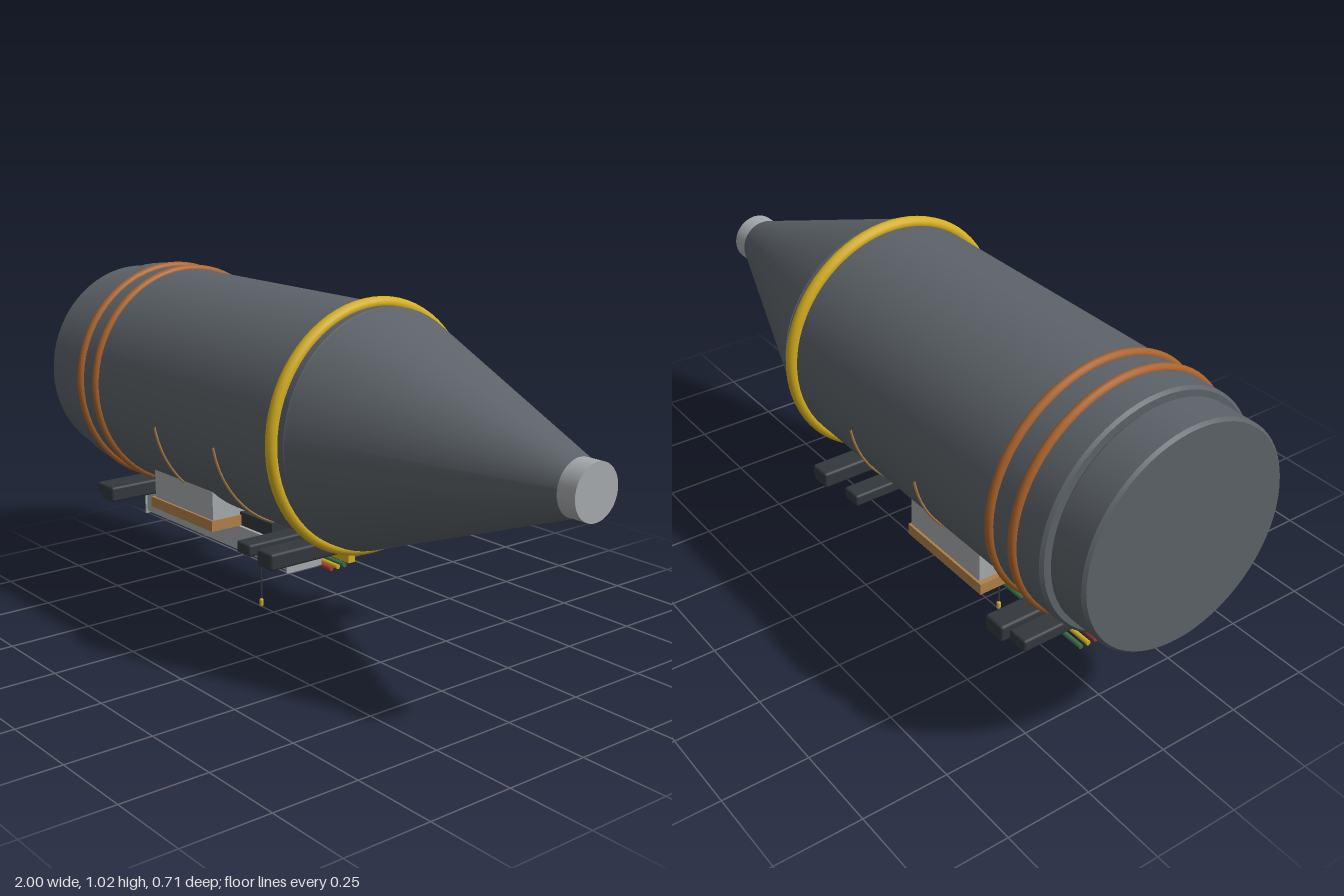
import * as THREE from 'three';
import { RoundedBoxGeometry } from 'three/addons/geometries/RoundedBoxGeometry.js';
import { toCreasedNormals } from 'three/addons/utils/BufferGeometryUtils.js';

const material = (name, color) => {
  const m = new THREE.MeshStandardMaterial({ color });
  m.name = name;
  return m;
};

export function createModel() {
  const group = new THREE.Group();
  const steel = material('vessel steel', 0x5c6268);
  const lightGray = material('light gray', 0xa6aaac);
  const dark = material('dark metal', 0x33383d);
  const yellow = material('yellow', 0xd4ae1e);
  const copper = material('copper', 0xa9622a);
  const wood = material('tan', 0xb08048);
  const red = material('red', 0xb03a34);
  const green = material('green', 0x3a7048);
  const AXIS = 0.667, R = 0.333;

  const add = (name, geo, mat, x = 0, y = 0, z = 0) => {
    const mesh = new THREE.Mesh(geo, mat);
    mesh.name = name;
    mesh.position.set(x, y, z);
    group.add(mesh);
    return mesh;
  };
  // Box given by its extents
  const box = (name, mat, x0, x1, y0, y1, z0, z1, round = 0) => {
    const s = [x1 - x0, y1 - y0, z1 - z0];
    const geo = round ? new RoundedBoxGeometry(...s, 2, round) : new THREE.BoxGeometry(...s);
    return add(name, geo, mat, (x0 + x1) / 2, (y0 + y1) / 2, (z0 + z1) / 2);
  };
  // Turned part along x; points are [radius, x]
  const turned = (name, mat, points) => {
    const geo = new THREE.LatheGeometry(points.map(p => new THREE.Vector2(...p)), 64);
    geo.rotateZ(-Math.PI / 2);
    add(name, toCreasedNormals(geo, 0.3), mat, 0, AXIS, 0);
  };
  const rod = (name, mat, r, x0, x1, y, z) => {
    const geo = new THREE.CylinderGeometry(r, r, x1 - x0, 12).rotateZ(Math.PI / 2);
    add(name, geo, mat, (x0 + x1) / 2, y, z);
  };
  const hoop = (name, mat, x, radius, tube) =>
    add(name, new THREE.TorusGeometry(radius, tube, 12, 72).rotateY(Math.PI / 2), mat, x, AXIS, 0);

  // Vessel
  turned('rearCap', steel, [[0, -1], [0.303, -1], [0.311, -0.992], [0.311, -0.886], [0.303, -0.878], [0, -0.878]]);
  turned('body', steel, [[0, -0.878], [0.325, -0.878], [R, -0.87], [R, 0.245], [0.328, 0.252], [0, 0.252]]);
  turned('noseCone', steel, [[0, 0.25], [R, 0.25], [0.075, 0.945], [0, 0.945]]);
  turned('noseTip', lightGray, [[0, 0.94], [0.074, 0.94], [0.074, 1], [0, 1]]);

  // Hoops
  hoop('frontHoop', yellow, 0.205, 0.338, 0.018);
  for (const x of [-0.775, -0.687]) hoop('rearHoop', copper, x, 0.333, 0.013);

  // Cross beams and the plate between them
  for (const x of [-0.685, 0.131]) box('crossBeam', dark, x - 0.034, x + 0.034, 0.312, 0.36, -0.313, 0.313, 0.008);
  for (const x of [-0.75, 0.002]) box('innerBeam', dark, x - 0.031, x + 0.031, 0.312, 0.347, -0.29, 0.29, 0.007);
  box('underPlate', dark, -0.66, -0.065, 0.314, 0.355, -0.14, 0.14);

  // Side cabinets on wooden bases and hoses running up the vessel
  for (const side of [-1, 1]) {
    const zs = (a, b) => (side > 0 ? [a, b] : [-b, -a]);
    box('cabinet', lightGray, -0.525, -0.22, 0.345, 0.437, ...zs(0.105, 0.236));
    box('cabinetBase', wood, -0.54, -0.215, 0.314, 0.346, ...zs(0.098, 0.243));
    for (const [x, end] of [[-0.37, 47], [-0.075, 68]]) {
      const points = [];
      for (let i = 0; i <= 10; i++) {
        const a = THREE.MathUtils.degToRad(10 + (end - 10) * i / 10);
        points.push(new THREE.Vector3(x, AXIS - 0.335 * Math.sin(a), side * 0.335 * Math.cos(a)));
      }
      add('hose', new THREE.TubeGeometry(new THREE.CatmullRomCurve3(points), 24, 0.004, 8), wood);
    }
  }

  // Runway beam, duct with end flanges
  box('runwayBeam', yellow, -0.875, 0.122, 0.26, 0.311, -0.012, 0.012);
  box('duct', lightGray, -0.748, -0.002, 0.23, 0.304, 0.018, 0.132);
  for (const x of [-0.75, -0.006]) box('ductFlange', lightGray, x, x + 0.006, 0.223, 0.31, 0.013, 0.137);

  // Pipes and cable tray
  [red, yellow, green].forEach((mat, i) => rod('pipe', mat, 0.007, -0.75, 0, 0.203, -0.025 - i * 0.025));
  box('cableTray', lightGray, -0.75, 0, 0.277, 0.281, -0.1, -0.025);
  for (let i = 0; i < 5; i++) rod('cable', i % 2 ? copper : red, 0.004, -0.75, 0, 0.285, -0.048 - i * 0.009);

  // Hoist with rope and pendant
  box('hoist', dark, -0.345, -0.28, 0.211, 0.26, -0.025, 0.025, 0.006);
  add('hoistRope', new THREE.CylinderGeometry(0.003, 0.003, 0.185, 8), dark, -0.312, 0.12, 0);
  add('pendant', new THREE.CapsuleGeometry(0.0065, 0.014, 4, 12), yellow, -0.312, 0.0135, 0);
  return group;
}
